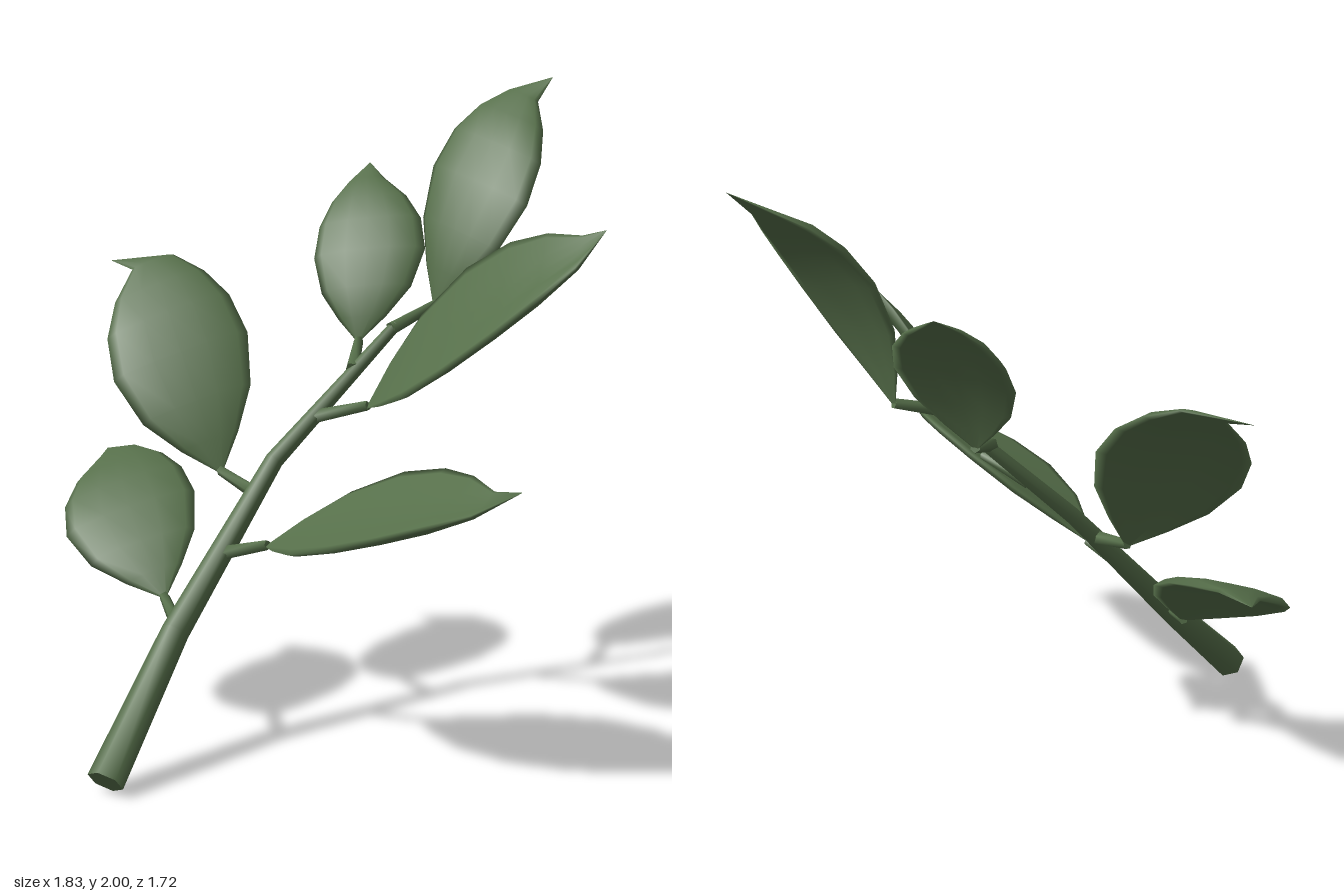
import * as THREE from 'three';

const green = new THREE.MeshStandardMaterial({ color: 0x566f4a, side: THREE.DoubleSide });
green.name = 'leaf green';
const V = (a) => new THREE.Vector3(...a);

// Skin closed rings of points (all the same length) with smooth normals
function loft(rings) {
  const n = rings[0].length, index = [];
  for (let i = 0; i < rings.length - 1; i++) {
    for (let j = 0; j < n; j++) {
      const a = i * n + j, b = i * n + (j + 1) % n;
      index.push(a, b, a + n, b, b + n, a + n);
    }
  }
  const g = new THREE.BufferGeometry().setFromPoints(rings.flat());
  g.setIndex(index);
  g.computeVertexNormals();
  return g;
}

// Tapered, mitred twig through a few points, with flat end caps
function twig(name, points, radii, sides) {
  const group = new THREE.Group();
  group.name = name;
  const p = points.map(V);
  const up = new THREE.Vector3(0, 1, 0);
  const rings = p.map((c, i) => {
    const d = new THREE.Vector3();
    if (i > 0) d.add(c.clone().sub(p[i - 1]).normalize());
    if (i < p.length - 1) d.add(p[i + 1].clone().sub(c).normalize());
    const q = new THREE.Quaternion().setFromUnitVectors(up, d.normalize());
    return Array.from({ length: sides }, (_, k) => {
      const a = (k / sides) * Math.PI * 2;
      return new THREE.Vector3(Math.sin(a) * radii[i], 0, Math.cos(a) * radii[i])
        .applyQuaternion(q).add(c);
    });
  });
  const bark = new THREE.Mesh(loft(rings), green);
  bark.name = name + 'Bark';
  group.add(bark);
  [0, p.length - 1].forEach((i) => {
    const fan = rings[i].map(() => p[i].clone());
    const cap = new THREE.Mesh(loft(i ? [rings[i], fan] : [fan, rings[i]]), green);
    cap.name = name + 'End';
    group.add(cap);
  });
  return group;
}

// Arched, slightly thick blade: base, widest point of each margin, body end, hooked tip
const STATIONS = [[0, 0.05], [0.12, 0.42], [0.28, 0.8], [0.5, 1], [0.7, 0.92], [0.86, 0.68], [1, 0.32]];
// Ring across the blade: [position, side], over the top and back underneath
const ACROSS = [[-1, 0], [-0.85, 1], [-0.4, 1], [0, 1], [0.4, 1], [0.85, 1],
  [1, 0], [0.85, -1], [0.4, -1], [0, -1], [-0.4, -1], [-0.85, -1]];

function blade({ base, left, right, end, tip }) {
  const B = V(base), E = V(end), H = V(tip), L = V(left), R = V(right);
  const normal = R.clone().sub(L).cross(E.clone().sub(B)).normalize();
  const M = L.clone().add(R).multiplyScalar(0.5);
  const half = R.clone().sub(L).multiplyScalar(0.5);
  const control = M.clone().multiplyScalar(2).addScaledVector(B, -0.5).addScaledVector(E, -0.5);
  const rib = new THREE.QuadraticBezierCurve3(B, control, E);
  const rings = STATIONS.map(([u, w]) => ACROSS.map(([s, side]) =>
    rib.getPoint(u)
      .addScaledVector(half, s * w)
      .addScaledVector(normal, 0.025 * w * (1 - s ** 4) + 0.013 * side * Math.min(1, w * 1.5))));
  rings.push(ACROSS.map(() => H.clone()));
  const mesh = new THREE.Mesh(loft(rings), green);
  mesh.name = 'leafBlade';
  return mesh;
}

const LEAVES = [
  { name: 'tipLeaf', node: [0.25, 1.24, -0.05], base: [0.43, 1.3, -0.07],
    left: [0.54, 1.72, -0.25], right: [0.63, 1.62, 0.14], end: [0.82, 1.94, -0.15], tip: [0.91, 2, -0.11] },
  { name: 'upperBackLeaf', node: [0.12, 1.12, -0.07], base: [0.23, 1.18, -0.21],
    left: [0.19, 1.42, -0.42], right: [0.47, 1.46, -0.19], end: [0.43, 1.66, -0.48], tip: [0.48, 1.71, -0.54] },
  { name: 'upperFrontLeaf', node: [0, 0.98, -0.08], base: [0.09, 1.03, 0.07],
    left: [0.06, 1.2, 0.51], right: [0.3, 1.47, 0.29], end: [0.38, 1.56, 0.73], tip: [0.47, 1.62, 0.74] },
  { name: 'lowerFrontLeaf', node: [-0.36, 0.6, -0.04], base: [-0.29, 0.65, 0.11],
    left: [-0.35, 0.74, 0.54], right: [0.01, 0.9, 0.4], end: [-0.02, 0.9, 0.84], tip: [0.11, 0.92, 0.85] },
  { name: 'middleBackLeaf', node: [-0.22, 0.76, -0.09], base: [-0.25, 0.8, -0.26],
    left: [-0.48, 1.06, -0.54], right: [-0.06, 1.2, -0.42], end: [-0.23, 1.4, -0.75], tip: [-0.33, 1.4, -0.86] },
  { name: 'lowerBackLeaf', node: [-0.54, 0.41, -0.01], base: [-0.5, 0.45, -0.17],
    left: [-0.68, 0.59, -0.49], right: [-0.28, 0.71, -0.38], end: [-0.4, 0.79, -0.69], tip: [-0.4, 0.79, -0.77] },
];

export function createModel() {
  const model = new THREE.Group();
  model.name = 'leafySprig';

  // Main stem
  model.add(twig('stem',
    [[-0.88, 0.043, 0.19], [-0.55, 0.39, 0], [-0.14, 0.85, -0.11], [0.27, 1.25, -0.05]],
    [0.056, 0.043, 0.029, 0.018], 6));

  // Leaves on short stalks
  for (const spec of LEAVES) {
    const leaf = new THREE.Group();
    leaf.name = spec.name;
    leaf.add(twig('leafStalk', [spec.node, spec.base], [0.022, 0.016], 5), blade(spec));
    model.add(leaf);
  }
  return model;
}
